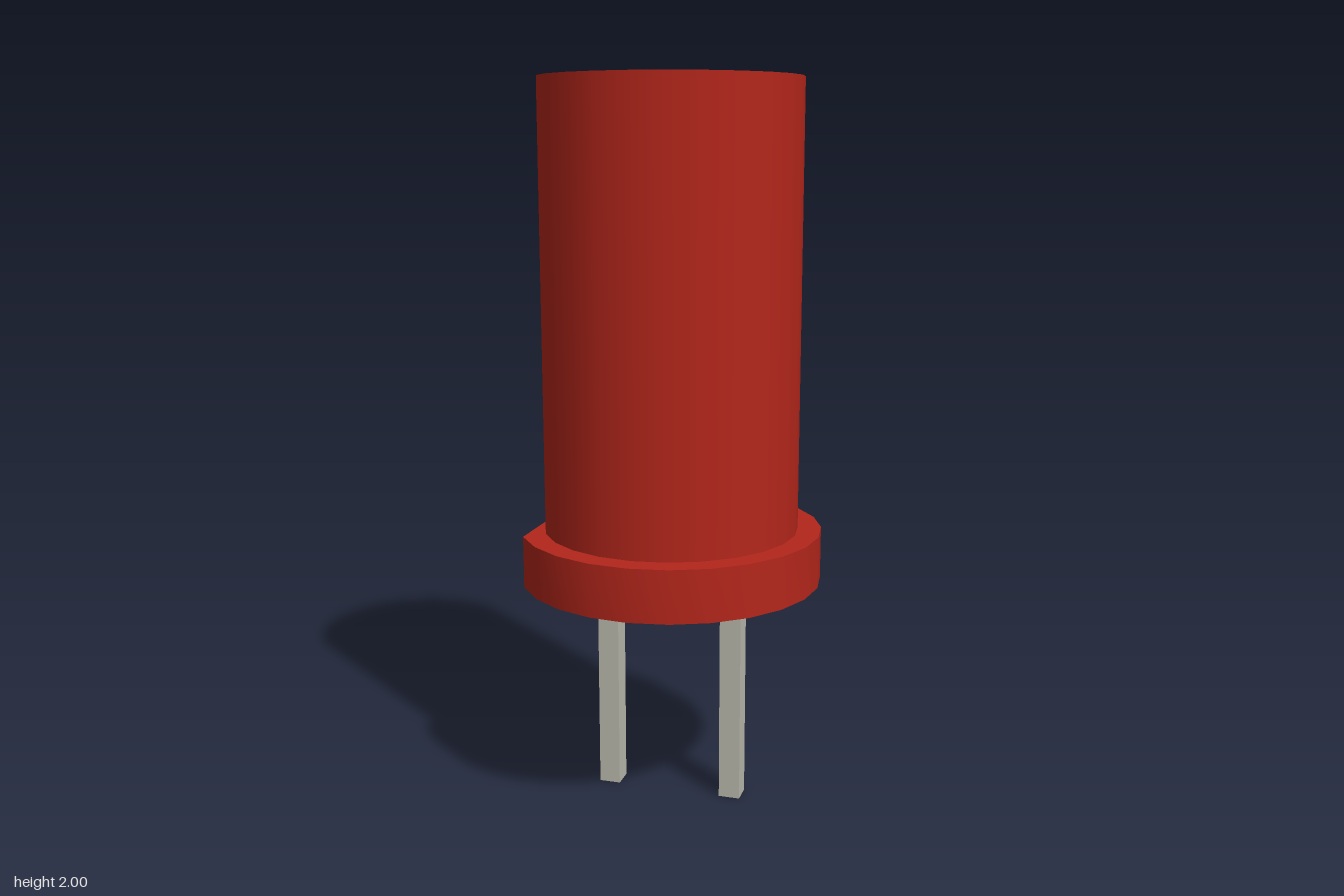
import * as THREE from 'three';
import { toCreasedNormals } from 'three/addons/utils/BufferGeometryUtils.js';

const AXIS_X = -0.033; // the round body sits off centre because the rim is cut flat on one side
const RIM_BOTTOM = 0.64;
const RIM_TOP = 0.784;
const TOP = 2;

export function createModel() {
  const group = new THREE.Group();
  group.name = 'lightEmittingDiode';
  const red = new THREE.MeshStandardMaterial({ color: 0xb3261b });
  const metal = new THREE.MeshStandardMaterial({ color: 0xbabaae });

  const add = (name, geometry, material, x, y) => {
    const mesh = new THREE.Mesh(geometry, material);
    mesh.name = name;
    mesh.position.set(x, y, 0);
    group.add(mesh);
  };

  // Flat-topped cylindrical lens
  const height = TOP - RIM_TOP;
  add('lens', new THREE.CylinderGeometry(0.353, 0.353, height, 24), red, AXIS_X, RIM_TOP + height / 2);

  // Rim: a disc with a flat cut on the -x side
  const cut = THREE.MathUtils.degToRad(147.9);
  const outline = new THREE.Shape().absarc(0, 0, 0.418, -cut, cut, false);
  outline.closePath();
  const rim = new THREE.ExtrudeGeometry(outline, {
    depth: RIM_TOP - RIM_BOTTOM, bevelEnabled: false, curveSegments: 10,
  });
  rim.rotateX(-Math.PI / 2);
  add('rim', toCreasedNormals(rim, 0.5), red, AXIS_X, RIM_BOTTOM);

  // Two square wire leads
  for (const [name, side] of [['leftLead', 1], ['rightLead', -1]]) {
    add(name, new THREE.BoxGeometry(0.06, RIM_BOTTOM, 0.06), metal, AXIS_X + side * 0.18, RIM_BOTTOM / 2);
  }

  return group;
}
